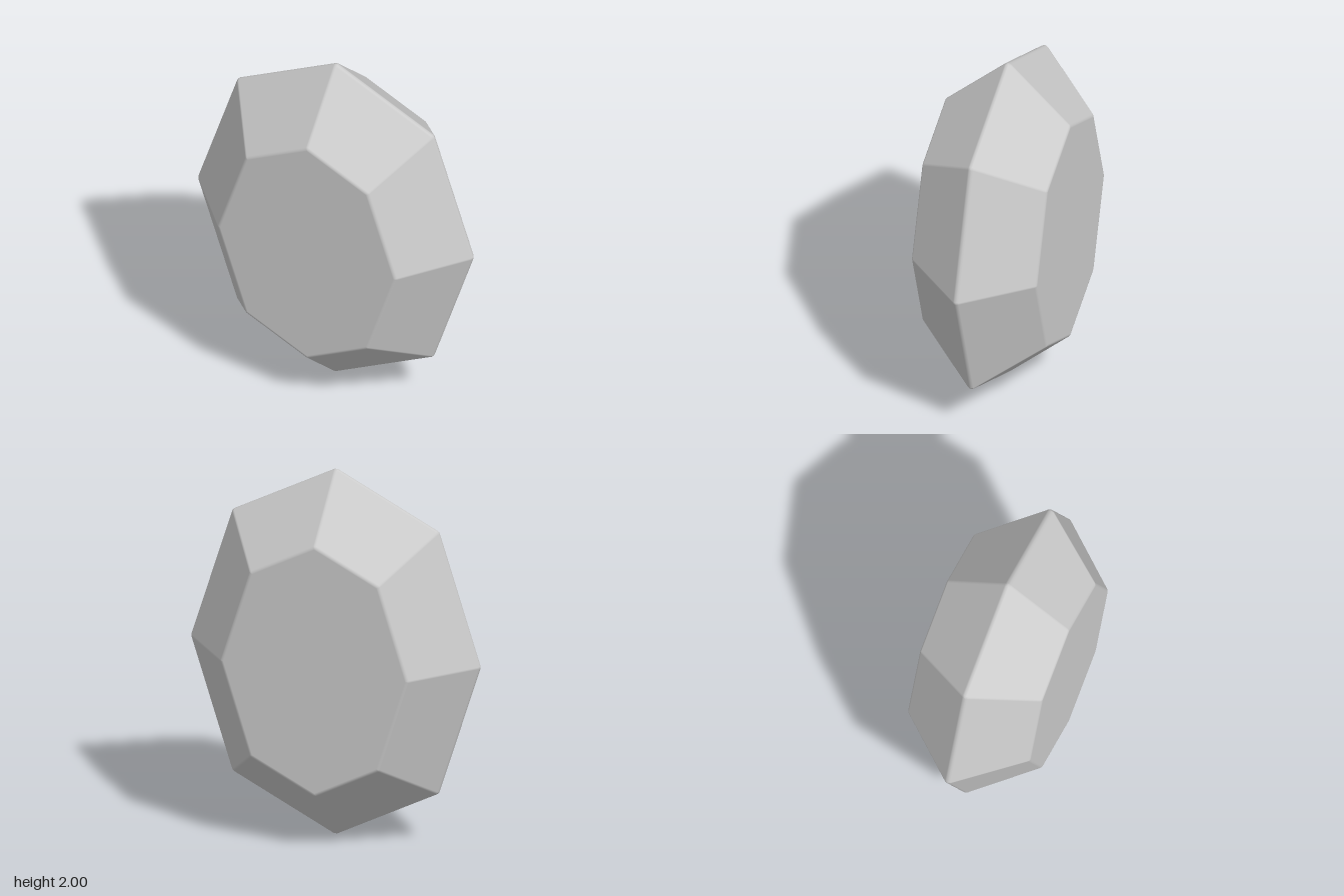
import * as THREE from 'three';

const RADIUS = 0.025; // edge rounding
const STEPS = 3; // segments across each rounded edge
const HALF_DEPTH = 0.345;

// Mirrors a quarter (top, diagonal, side) into an eight-point ring.
function ring([top, diag, side], z) {
  return [
    [0, top], diag, [side, 0], [diag[0], -diag[1]],
    [0, -top], [-diag[0], -diag[1]], [-side, 0], [-diag[0], diag[1]],
  ].map(([x, y]) => new THREE.Vector3(x, y, z));
}

// Closed convex solid with every edge and corner rounded.
function roundedSolid(points, faces, radius, steps) {
  const positions = [], normals = [];
  const tri = (...corners) => { // corners: [position, normal]
    const [a, b, c] = corners.map((k) => k[0]);
    const facing = b.clone().sub(a).cross(c.clone().sub(a));
    const outward = corners.reduce((s, k) => s.add(k[1]), new THREE.Vector3());
    if (facing.dot(outward) < 0) corners.reverse();
    for (const [p, n] of corners) {
      positions.push(...p.toArray());
      normals.push(...n.toArray());
    }
  };

  const faceNormals = faces.map(([a, b, c]) => {
    const n = points[b].clone().sub(points[a]).cross(points[c].clone().sub(points[a])).normalize();
    return n.dot(points[a]) < 0 ? n.negate() : n;
  });

  // Centre of the rounding sphere and mean normal at each corner
  const around = points.map((_, v) => faceNormals.filter((n, f) => faces[f].includes(v)));
  const centres = points.map((p, v) => {
    const [a, b, c] = around[v];
    const m = new THREE.Matrix3().set(a.x, a.y, a.z, b.x, b.y, b.z, c.x, c.y, c.z).invert();
    return p.clone().sub(new THREE.Vector3(radius, radius, radius).applyMatrix3(m));
  });
  const meanNormals = around.map((list) =>
    list.reduce((s, n) => s.add(n), new THREE.Vector3()).normalize());
  const at = (v, n) => [centres[v].clone().addScaledVector(n, radius), n];

  // Flat facets
  const edges = new Map();
  faces.forEach((face, f) => {
    const n = faceNormals[f];
    for (let i = 1; i < face.length - 1; i++) tri(at(face[0], n), at(face[i], n), at(face[i + 1], n));
    face.forEach((v, i) => {
      const w = face[(i + 1) % face.length];
      const key = Math.min(v, w) + '-' + Math.max(v, w);
      if (!edges.has(key)) edges.set(key, { v, w, sides: [] });
      edges.get(key).sides.push(n);
    });
  });

  // Rounded edges, with a corner wedge at both ends
  for (const { v, w, sides } of edges.values()) {
    for (let i = 0; i < steps; i++) {
      const n0 = sides[0].clone().lerp(sides[1], i / steps).normalize();
      const n1 = sides[0].clone().lerp(sides[1], (i + 1) / steps).normalize();
      tri(at(v, n0), at(w, n0), at(w, n1));
      tri(at(v, n0), at(w, n1), at(v, n1));
      for (const end of [v, w]) tri(at(end, meanNormals[end]), at(end, n0), at(end, n1));
    }
  }

  const geometry = new THREE.BufferGeometry();
  geometry.setAttribute('position', new THREE.Float32BufferAttribute(positions, 3));
  geometry.setAttribute('normal', new THREE.Float32BufferAttribute(normals, 3));
  return geometry;
}

export function createModel() {
  // Widest outline, and the smaller flat outline with edges parallel to it
  const top = 1.011, diag = [0.57, 0.722], side = 0.8;
  const flatTop = 0.68, flatSide = 0.51;
  const upperSlope = (top - diag[1]) / diag[0];
  const sideSlope = (side - diag[0]) / diag[1];
  const flatX = (flatSide - sideSlope * flatTop) / (1 - sideSlope * upperSlope);
  const flat = [flatTop, [flatX, flatTop - upperSlope * flatX], flatSide];

  const points = [
    ...ring([top, diag, side], 0),
    ...ring(flat, HALF_DEPTH),
    ...ring(flat, -HALF_DEPTH),
  ];

  // Front and back flats, then eight sloping facets on each side
  const faces = [];
  for (const start of [8, 16]) {
    faces.push(Array.from({ length: 8 }, (_, i) => start + i));
    for (let i = 0; i < 8; i++) {
      const j = (i + 1) % 8;
      faces.push([i, j, start + j, start + i]);
    }
  }

  const gem = new THREE.Mesh(
    roundedSolid(points, faces, RADIUS, STEPS),
    new THREE.MeshStandardMaterial({ color: 0xcccccc }),
  );
  gem.name = 'gem';

  // Stand the stone on the ground
  gem.geometry.computeBoundingBox();
  gem.position.y = -gem.geometry.boundingBox.min.y;

  const group = new THREE.Group();
  group.name = 'facetedGem';
  group.add(gem);
  return group;
}
